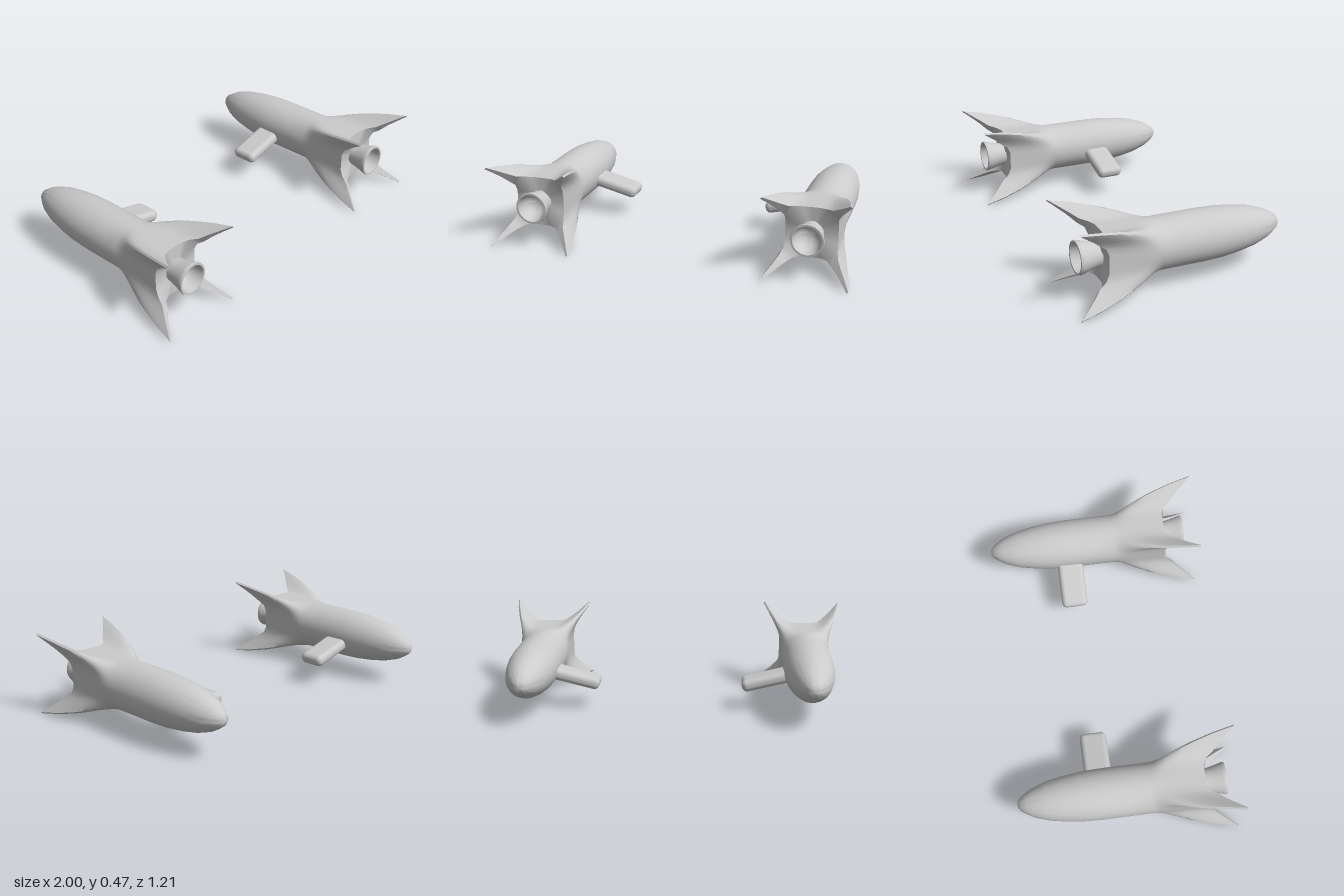
import * as THREE from 'three';
import { toCreasedNormals } from 'three/addons/utils/BufferGeometryUtils.js';
import { RoundedBoxGeometry } from 'three/addons/geometries/RoundedBoxGeometry.js';

const material = new THREE.MeshStandardMaterial({ color: 0xcccccc });
const hollow = new THREE.MeshStandardMaterial({ color: 0xcccccc, side: THREE.DoubleSide });

const RADIUS = 0.14;
const FIN_START = 0.12;
// Rear edge of half a fin, tip to valley: [distance along the diagonal, half thickness, z]
const FIN = [
  [0.323, 0.006, 0.605], [0.28, 0.011, 0.56], [0.235, 0.017, 0.515], [0.19, 0.026, 0.475],
  [0.163, 0.038, 0.437], [0.134, 0.063, 0.42], [0.099, 0.099, 0.42],
];
const ROOT = 4; // first point that belongs to the flat tail plate
const PER_FIN = 13;
const COUNT = PER_FIN * 4;

// Nose profile: [z, radius]
const NOSE = [
  [-0.605, 0.001], [-0.604, 0.014], [-0.59, 0.036], [-0.555, 0.06], [-0.52, 0.08], [-0.44, 0.107],
  [-0.35, 0.124], [-0.25, 0.136], [-0.15, 0.14], [0, 0.14],
];
// How far the cross-section has turned from circle to star: [fraction of length, blend]
const BLEND = [[0, 0], [0.08, 0.06], [0.17, 0.19], [0.27, 0.33], [0.4, 0.49], [0.52, 0.62], [0.75, 0.83], [1, 1]];

// Column j of the ring: which fin, which point on it, and which side
function column(j) {
  const k = Math.floor(j / PER_FIN), m = j % PER_FIN;
  return { phi: Math.PI / 4 + k * Math.PI / 2, i: m < 7 ? 6 - m : m - 7, side: m < 7 ? -1 : 1 };
}

// Circular hull that flows into four swept-back fins
function hullGeometry() {
  const pos = [], index = [];
  const addRow = (fn) => {
    for (let j = 0; j < COUNT; j++) {
      const { phi, i, side } = column(j);
      const theta = THREE.MathUtils.degToRad(3 + 7 * i);
      const [a, b, z] = fn(theta, i);
      const c = Math.cos(phi), s = Math.sin(phi);
      pos.push(a * c - side * b * s, a * s + side * b * c, z);
    }
  };
  for (const [z, r] of NOSE) addRow((t) => [r * Math.cos(t), r * Math.sin(t), z]);
  for (const [f, w] of BLEND) {
    addRow((t, i) => [
      THREE.MathUtils.lerp(RADIUS * Math.cos(t), FIN[i][0], w),
      THREE.MathUtils.lerp(RADIUS * Math.sin(t), FIN[i][1], w),
      THREE.MathUtils.lerp(FIN_START, FIN[i][2], f),
    ]);
  }
  const rows = NOSE.length + BLEND.length;
  const quad = (a, b, c, d) => index.push(a, b, c, a, c, d);
  for (let r = 0; r < rows - 1; r++) {
    for (let j = 0; j < COUNT; j++) {
      const n = (j + 1) % COUNT, o = r * COUNT;
      quad(o + j, o + n, o + COUNT + n, o + COUNT + j);
    }
  }
  // Trailing edges of the fins
  const last = (rows - 1) * COUNT;
  for (let k = 0; k < 4; k++) {
    const o = last + k * PER_FIN;
    for (let i = 0; i < ROOT; i++) quad(o + 6 - i, o + 7 + i, o + 8 + i, o + 5 - i);
  }
  // Tail plate
  const centre = pos.length / 3;
  pos.push(0, 0, 0.42);
  const rim = [];
  for (let j = 0; j < COUNT; j++) if (column(j).i >= ROOT) rim.push(last + j);
  rim.forEach((p, n) => index.push(centre, p, rim[(n + 1) % rim.length]));

  const g = new THREE.BufferGeometry();
  g.setAttribute('position', new THREE.Float32BufferAttribute(pos, 3));
  g.setIndex(index);
  return toCreasedNormals(g, 0.9);
}

// Flared engine bell with a hollow bowl, opening towards +z
function nozzleGeometry() {
  const profile = [
    [0.064, 0.405], [0.066, 0.44], [0.075, 0.48], [0.086, 0.52], [0.09, 0.535], [0.088, 0.543],
    [0.077, 0.543], [0.073, 0.525], [0.066, 0.49], [0.052, 0.46], [0.03, 0.443], [0, 0.438],
  ].map(([r, z]) => new THREE.Vector2(r, z));
  return toCreasedNormals(new THREE.LatheGeometry(profile, 40).rotateX(Math.PI / 2), 0.7);
}

function part(name, geometry, mat = material) {
  const mesh = new THREE.Mesh(geometry, mat);
  mesh.name = name;
  return mesh;
}

export function createModel() {
  const model = new THREE.Group();
  model.name = 'rocketPair';
  const hull = hullGeometry(), nozzle = nozzleGeometry();
  const arm = new RoundedBoxGeometry(0.33, 0.066, 0.15, 5, 0.029);

  for (const side of [1, -1]) {
    const rocket = new THREE.Group();
    rocket.name = side > 0 ? 'leftRocket' : 'rightRocket';
    rocket.position.set(side * 0.7674, 0.2326, 0);
    rocket.add(part('hullWithFins', hull), part('engineNozzle', nozzle, hollow));

    // Mounting arm pointing inwards and slightly down
    const tilt = THREE.MathUtils.degToRad(14);
    const mount = part('mountingArm', arm);
    mount.position.set(-side * 0.216 * Math.cos(tilt), -0.216 * Math.sin(tilt), -0.148);
    mount.rotation.z = side * tilt;
    rocket.add(mount);
    model.add(rocket);
  }
  return model;
}
